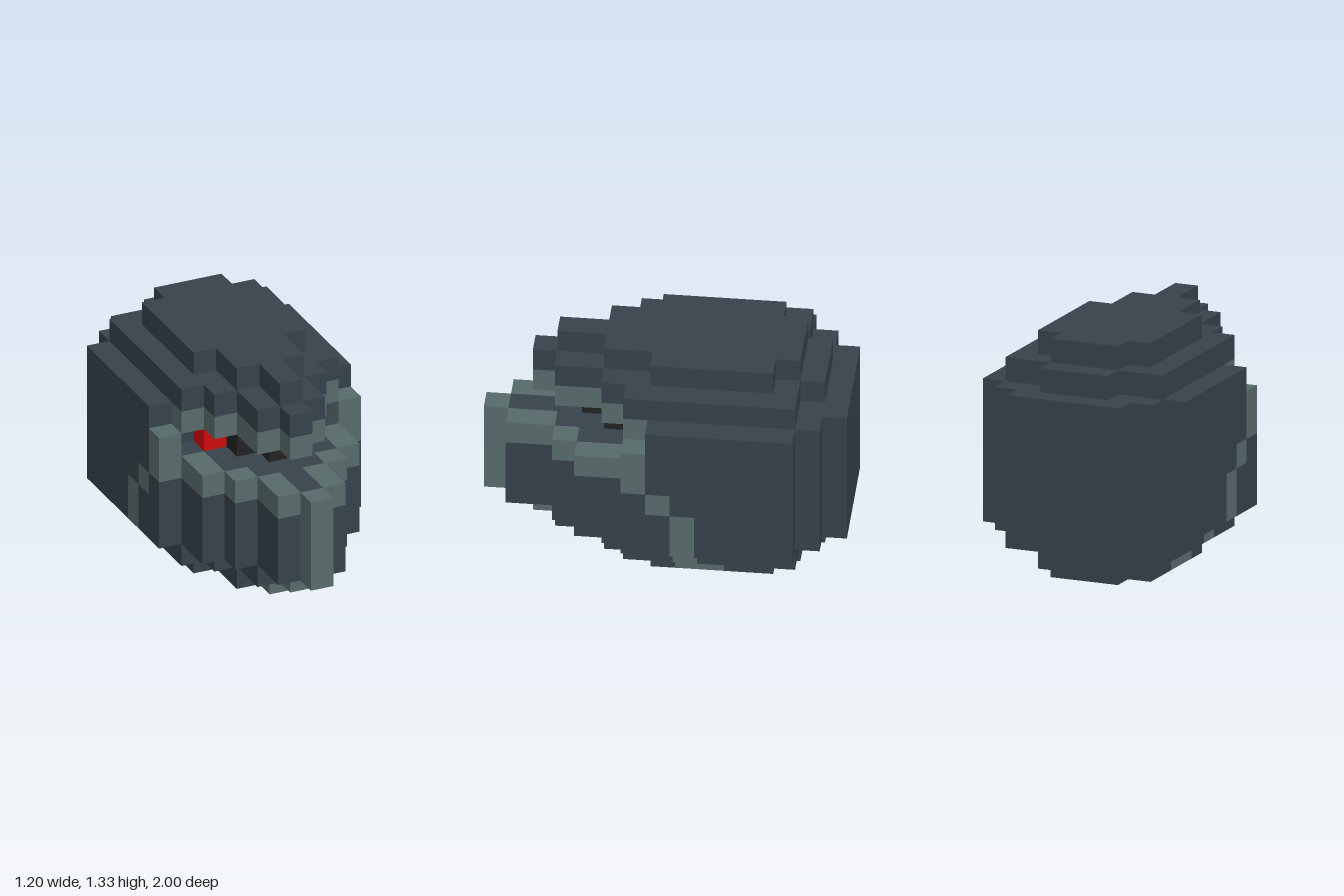
import * as THREE from 'three';
import { mergeGeometries } from 'three/addons/utils/BufferGeometryUtils.js';

const U = 2 / 15; // size of one block

// Block run: row up from the ground, column out from the centre line, z from z0 to z1 (0 = back, 15 = front)
function run(row, col, z0, z1, side) {
  const g = new THREE.BoxGeometry(U, U, (z1 - z0) * U);
  return g.translate(side * col * U, (row + 0.5) * U, ((z0 + z1) / 2 - 7.5) * U);
}

// The same run on both sides, or once on the centre line
function mirrored(row, col, z0, z1) {
  return (col === 0 ? [1] : [-1, 1]).map((side) => run(row, col, z0, z1, side));
}

export function createModel() {
  const group = new THREE.Group();
  const material = (name, color) => {
    const m = new THREE.MeshStandardMaterial({ color });
    m.name = name;
    return m;
  };
  const slate = material('dark slate', 0x36424b);
  const grey = material('grey green', 0x586a6b);
  const black = material('black', 0x222222);
  const red = material('red', 0xcc0d0d);

  // Front and back ends of every column, centre outwards
  const cap = { front: [12, 10, 8], back: [2, 2, 3] };
  const base = { front: [11, 10, 8], back: [2, 2, 3] };
  const taper = { front: [13, 12, 10, 9], back: [1, 1, 2, 2] };
  const fullBack = [0, 0, 0, 1, 2];
  const jaw = { front: [15, 14, 12, 11, 9], back: fullBack };
  const visor = { front: [11, 10, 9, 8, 9], back: fullBack };
  const brow = { front: [13, 12, 10, 9, 8], back: fullBack };
  const rows = [base, taper, jaw, jaw, jaw, jaw, visor, brow, taper, cap];

  // Coloured runs: [row, column, z0, z1]
  const details = [
    { name: 'jawRim', mat: grey, runs: [[5, 0, 14, 15], [5, 1, 12, 14], [5, 2, 11, 12], [5, 3, 9, 11], [5, 4, 8, 9]] },
    { name: 'browBand', mat: grey, runs: [[7, 0, 12, 13], [7, 1, 10, 12], [7, 2, 9, 10], [7, 3, 8, 9]] },
    { name: 'visorPosts', mat: grey, runs: [[6, 4, 8, 9]] },
    { name: 'frontRidge', mat: grey, runs: [[0, 0, 10, 11], [1, 0, 12, 13], [2, 0, 14, 15], [3, 0, 14, 15], [4, 0, 14, 15]] },
    { name: 'sideSeams', mat: grey, runs: [[4, 4, 7, 8], [3, 4, 6, 7], [2, 4, 6, 7], [1, 3, 6, 7], [0, 2, 5, 7]] },
    { name: 'noseGuard', mat: black, runs: [[6, 0, 8, 11], [6, 1, 8, 10]] },
    { name: 'eyes', mat: red, runs: [[6, 2, 8, 9]] },
  ];

  const add = (name, mat, geometries) => {
    const mesh = new THREE.Mesh(mergeGeometries(geometries), mat);
    mesh.name = name;
    group.add(mesh);
  };

  for (const d of details) add(d.name, d.mat, d.runs.flatMap((r) => mirrored(...r)));

  // Dark shell: each column, leaving room for its coloured run
  const painted = details.flatMap((d) => d.runs);
  const shell = [];
  rows.forEach(({ front, back }, row) => {
    front.forEach((end, col) => {
      const start = back[col];
      const gap = painted.find((r) => r[0] === row && r[1] === col);
      const spans = gap ? [[start, gap[2]], [gap[3], end]] : [[start, end]];
      for (const [z0, z1] of spans) if (z1 > z0) shell.push(...mirrored(row, col, z0, z1));
    });
  });
  add('helmetShell', slate, shell);

  return group;
}
